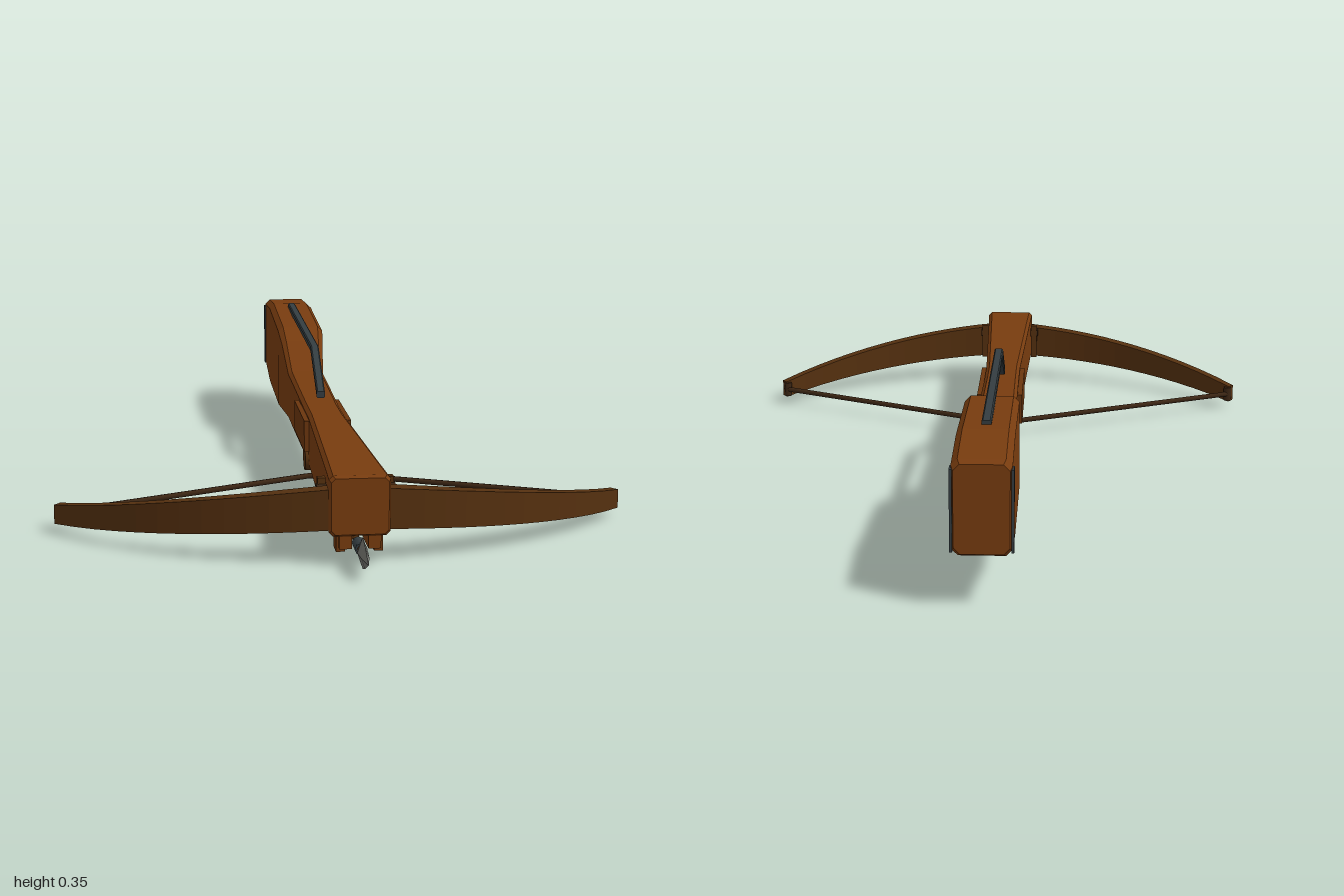
import * as THREE from 'three';

const mat = (name, color, side = THREE.FrontSide) => {
  const m = new THREE.MeshStandardMaterial({ color, side });
  m.name = name;
  return m;
};

// Closed faceted surface through rings; rings run counterclockwise about the advance direction
function loft(rings) {
  const pos = [], n = rings[0].length;
  const tri = (...pts) => pts.forEach((p) => pos.push(...p));
  for (let i = 0; i + 1 < rings.length; i++)
    for (let j = 0; j < n; j++) {
      const k = (j + 1) % n, a = rings[i], b = rings[i + 1];
      tri(a[j], a[k], b[k]);
      tri(a[j], b[k], b[j]);
    }
  const first = rings[0], last = rings[rings.length - 1];
  for (let j = 1; j + 1 < n; j++) {
    tri(first[0], first[j + 1], first[j]);
    tri(last[0], last[j], last[j + 1]);
  }
  const g = new THREE.BufferGeometry();
  g.setAttribute('position', new THREE.Float32BufferAttribute(pos, 3));
  g.computeVertexNormals();
  return g;
}

// Chamfered rectangle in the xy plane
const section = (z, w, b, t, c) => [
  [w, b + c, z], [w, t - c, z], [w - c, t, z], [c - w, t, z],
  [-w, t - c, z], [-w, b + c, z], [c - w, b, z], [w - c, b, z],
];

export function createModel() {
  const root = new THREE.Group();
  root.name = 'crossbow';
  const wood = mat('stock wood', 0x783c0f);
  const plateWood = mat('plate wood', 0x6b360e);
  const bowWood = mat('bow wood', 0x55300f);
  const cord = mat('cord', 0x3c2614);
  const steel = mat('dark steel', 0x343d41);
  const tip = mat('arrowhead grey', 0x73736e);
  const feather = mat('feather', 0xa08a6c, THREE.DoubleSide);

  const add = (name, geo, m, x = 0, y = 0, z = 0) => {
    const mesh = new THREE.Mesh(geo, m);
    mesh.name = name;
    mesh.position.set(x, y, z);
    root.add(mesh);
    return mesh;
  };
  const box = (name, m, w, h, d, x, y, z) => add(name, new THREE.BoxGeometry(w, h, d), m, x, y, z);
  const rod = (name, m, a, b, r, sides = 8) => {
    const p = new THREE.Vector3(...a), q = new THREE.Vector3(...b);
    const mesh = add(name, new THREE.CylinderGeometry(r, r, p.distanceTo(q), sides), m);
    mesh.position.copy(p).lerp(q, 0.5);
    mesh.quaternion.setFromUnitVectors(new THREE.Vector3(0, 1, 0), q.sub(p).normalize());
    return mesh;
  };

  // Stock: z, half width, bottom, top, chamfer
  add('stock', loft([
    [-1, 0.06, 0.125, 0.325, 0.014],
    [-0.985, 0.065, 0.117, 0.332, 0.014],
    [-0.81, 0.065, 0.083, 0.342, 0.014],
    [-0.48, 0.065, 0.073, 0.32, 0.014],
    [-0.42, 0.059, 0.073, 0.287, 0.012],
    [-0.32, 0.05, 0.072, 0.216, 0.01],
    [-0.2, 0.049, 0.07, 0.212, 0.009],
    [0.1, 0.047, 0.068, 0.202, 0.009],
    [0.22, 0.047, 0.066, 0.202, 0.009],
    [0.78, 0.065, 0.066, 0.202, 0.009],
    [0.86, 0.068, 0.066, 0.202, 0.009],
    [0.87, 0.063, 0.071, 0.197, 0.009],
  ].map((s) => section(...s))), wood);

  // Bow with curved, drooping and tapering limbs
  const bow = [];
  for (let i = 0; i <= 28; i++) {
    const x = -0.67 + (1.34 * i) / 28, u = Math.abs(x) / 0.67;
    const z = -0.04 + Math.sqrt(0.757 - x * x);
    const top = 0.173 - 0.05 * u - 0.058 * u * u;
    const bottom = 0.079 - 0.03 * u - 0.03 * u * u;
    const h = 0.022 - 0.013 * u, s = (x / 0.87) * h;
    bow.push([[x - s, bottom, z - h], [x - s, top, z - h], [x + s, top, z + h], [x + s, bottom, z + h]]);
  }
  add('bow', loft(bow), bowWood);

  // String drawn back to the nut
  rod('stringMiddle', cord, [-0.055, 0.042, 0.22], [0.055, 0.042, 0.22], 0.007);
  for (const s of [-1, 1]) {
    rod('stringSide', cord, [s * 0.664, 0.042, 0.51], [s * 0.05, 0.042, 0.22], 0.007);
    rod('stringLoop', cord, [s * 0.66, 0.022, 0.512], [s * 0.66, 0.062, 0.512], 0.011);
    box('sidePlate', plateWood, 0.014, 0.08, 0.27, s * 0.053, 0.15, 0.105);
    box('buttStrip', steel, 0.006, 0.185, 0.028, s * 0.0655, 0.22, -0.983);
    box('bowBracket', bowWood, 0.018, 0.1, 0.02, s * 0.076, 0.13, 0.78);
    rod('bowPin', cord, [s * 0.06, 0.155, 0.785], [s * 0.088, 0.155, 0.785], 0.013);
    box('arrowGuide', wood, 0.028, 0.03, 0.36, s * 0.032, 0.054, 0.69);
    box('frontLug', plateWood, 0.02, 0.04, 0.045, s * 0.042, 0.05, 0.835);
  }
  rod('nut', bowWood, [-0.056, 0.085, 0.2], [0.056, 0.085, 0.2], 0.031, 14);
  box('groove', cord, 0.024, 0.012, 0.85, 0, 0.066, -0.22);

  // Bent trigger lever, including its thin side faces
  const lever = [[0.078, 0.225], [-0.08, 0.321], [-0.77, 0.34]];
  add('triggerLever', loft([...lever].reverse().map(([z, y]) => section(z, 0.011, y - 0.009, y + 0.009, 0.003))), steel);

  // Arrow: shaft, flattened head and three feathers
  rod('arrowShaft', bowWood, [0, 0.042, 0.2], [0, 0.042, 0.9], 0.009);
  rod('arrowCollar', steel, [0, 0.042, 0.83], [0, 0.042, 0.885], 0.014);
  add('arrowhead', loft([[0.865, 0.006, 0.01], [0.91, 0.012, 0.036], [0.95, 0.009, 0.024], [1, 0.001, 0.001]]
    .map(([z, w, h]) => [[w, 0.042, z], [0, 0.042 + h, z], [-w, 0.042, z], [0, 0.042 - h, z]])), tip);
  const shape = new THREE.Shape([[0.24, 0], [0.25, 0.036], [0.28, 0.042], [0.33, 0.036], [0.41, 0]]
    .map(([z, r]) => new THREE.Vector2(z, r)));
  for (let i = 0; i < 3; i++) {
    const g = new THREE.ShapeGeometry(shape);
    g.rotateY(-Math.PI / 2);
    g.rotateZ(Math.PI + (i * 2 * Math.PI) / 3);
    add('feather', g, feather, 0, 0.042, 0);
  }
  return root;
}
